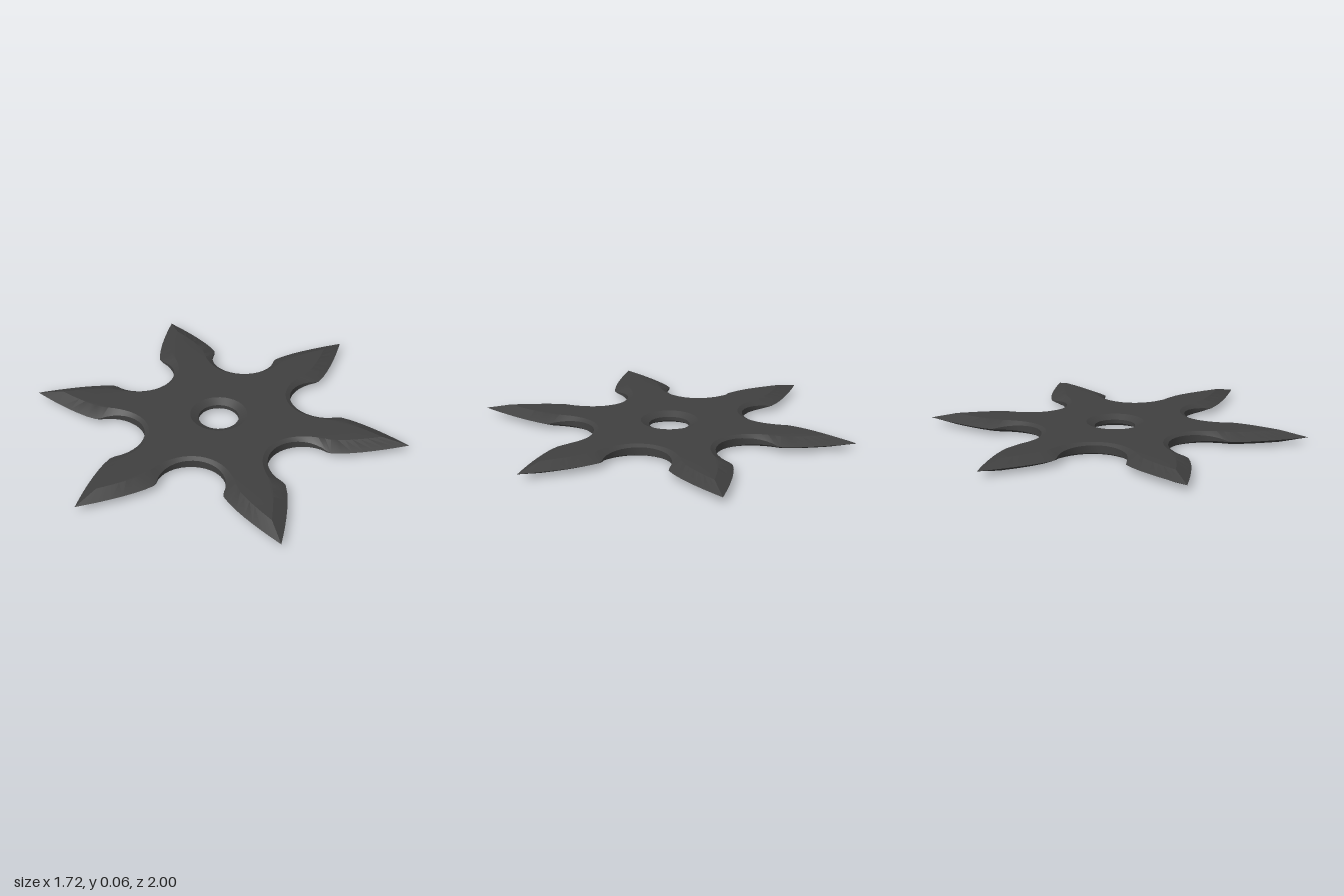
import * as THREE from 'three';
import { toCreasedNormals } from 'three/addons/utils/BufferGeometryUtils.js';

const MID = 0.031;       // half thickness
const CENTRE_Z = -0.025; // hub sits slightly off the bounding centre
const BLADE_STEPS = 7;
const ARC_STEPS = 20;
const rad = THREE.MathUtils.degToRad;

// Outline samples: the outer edge, the inset rim of the flat face, and the edge wall half height
function buildOutline() {
  const edge = [], rim = [], wall = [];
  const tips = [1.025, 0.993, 0.993, 0.975, 0.993, 0.993];
  tips.forEach((tip, k) => {
    const a = Math.PI / 2 + k * Math.PI / 3;
    const place = (along, side) => new THREE.Vector2(
      along * Math.cos(a) - side * Math.sin(a),
      CENTRE_Z + along * Math.sin(a) + side * Math.cos(a));
    // blade: corner, tip, corner
    for (let i = -BLADE_STEPS; i <= BLADE_STEPS; i++) {
      const t = 1 - Math.abs(i) / BLADE_STEPS;
      const width = Math.sign(i) * (1 - Math.pow(t, 1.35));
      edge.push(place(0.62 + (tip - 0.62) * t, 0.158 * width));
      rim.push(place(0.605 + (tip - 0.14 - 0.605) * t, 0.087 * width));
      wall.push(0);
    }
    // round notch between this arm and the next
    for (let i = 1; i < ARC_STEPS; i++) {
      const s = -1 + 2 * i / ARC_STEPS;
      const arc = (r, sweep) => {
        const b = Math.PI / 6 + Math.PI - rad(sweep) * s;
        return place(0.494 + r * Math.cos(b), 0.285 + r * Math.sin(b));
      };
      edge.push(arc(0.17, 107));
      rim.push(arc(0.193 + 0.037 * s ** 4, 91));
      wall.push(0.02 * (1 - s * s));
    }
  });
  return { edge, rim, wall };
}

function buildStar() {
  const positions = [];
  const tri = (...pts) => pts.forEach((p) => positions.push(p.x, p.y, p.z));
  const lift = (loop, height) => loop.map((p, i) =>
    new THREE.Vector3(p.x, MID + (Array.isArray(height) ? height[i] : height), p.y));
  const circle = (r) => Array.from({ length: 36 }, (_, i) => {
    const a = i / 36 * Math.PI * 2;
    return new THREE.Vector2(r * Math.cos(a), CENTRE_Z + r * Math.sin(a));
  });
  // joins successive closed loops with quads, skipping collapsed ones
  const skin = (loops) => {
    for (let l = 0; l + 1 < loops.length; l++) {
      const top = loops[l], low = loops[l + 1];
      top.forEach((p, i) => {
        const j = (i + 1) % top.length;
        if (p.distanceTo(low[i]) > 1e-5) tri(p, top[j], low[i]);
        if (top[j].distanceTo(low[j]) > 1e-5) tri(top[j], low[j], low[i]);
      });
    }
  };

  const { edge, rim, wall } = buildOutline();
  // sharpened outer edge
  skin([lift(rim, MID), lift(edge, wall), lift(edge, wall.map((h) => -h)), lift(rim, -MID)]);
  // chamfered centre hole
  const wide = circle(0.148), narrow = circle(0.105);
  skin([lift(wide, -MID), lift(narrow, -0.01), lift(narrow, 0.01), lift(wide, MID)]);
  // flat faces
  const top = lift([...rim, ...wide], MID), bottom = lift([...rim, ...wide], -MID);
  THREE.ShapeUtils.triangulateShape(rim.slice(), [wide.slice()]).forEach(([a, b, c]) => {
    const area = (top[b].x - top[a].x) * (top[c].z - top[a].z)
      - (top[b].z - top[a].z) * (top[c].x - top[a].x);
    if (area < 0) [b, c] = [c, b];
    tri(top[a], top[c], top[b]);
    tri(bottom[a], bottom[b], bottom[c]);
  });

  const geometry = new THREE.BufferGeometry();
  geometry.setAttribute('position', new THREE.Float32BufferAttribute(positions, 3));
  return toCreasedNormals(geometry, 0.42);
}

export function createModel() {
  const group = new THREE.Group();
  group.name = 'throwingStar';
  const steel = new THREE.MeshStandardMaterial({ color: 0x404040 });
  steel.name = 'darkSteel';
  const star = new THREE.Mesh(buildStar(), steel);
  star.name = 'sixPointBlade';
  group.add(star);
  return group;
}
